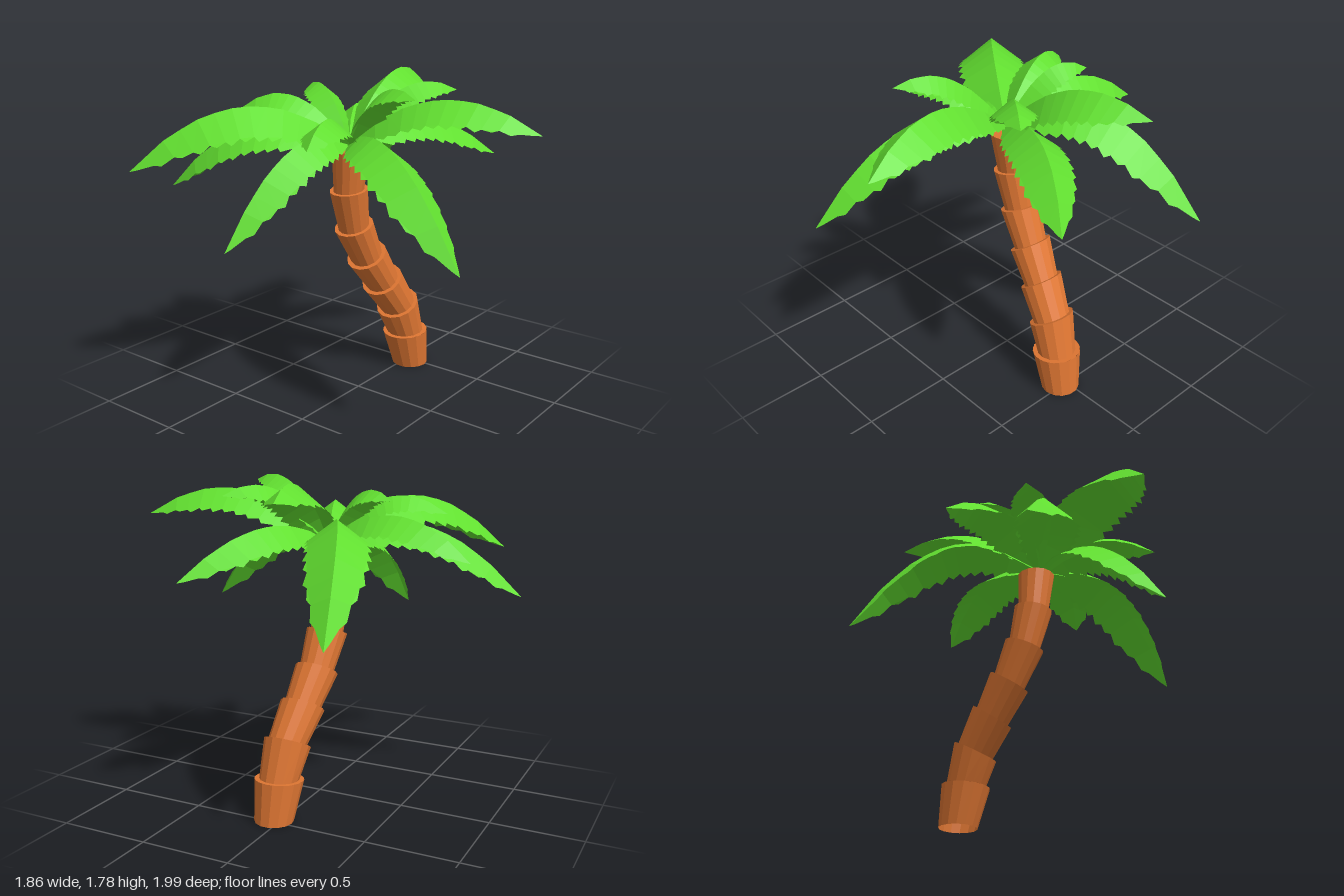
import * as THREE from 'three';

const V = (a) => new THREE.Vector3(...a);

// Trunk rings: centre x, y, z, flared radius of the segment below, radius where the next one starts, tilt in degrees
const RINGS = [
  [0.48, 0.004, 0.034, 0.106, 0.106, 1],
  [0.434, 0.226, 0.025, 0.133, 0.107, 5],
  [0.371, 0.412, 0.008, 0.127, 0.104, 28],
  [0.254, 0.587, -0.022, 0.121, 0.098, 34],
  [0.138, 0.762, -0.048, 0.117, 0.093, 32],
  [0.039, 0.957, -0.062, 0.111, 0.089, 21],
  [-0.013, 1.175, -0.056, 0.107, 0.086, 9],
  [-0.021, 1.397, -0.036, 0.104, 0.085, 0],
];

// Fronds: tip x, y, z, height of the ridge halfway, half width, sideways bow
const FRONDS = [
  [-0.93, 1.34, -0.76, 1.665, 0.23, -0.05],
  [0.93, 1.085, -0.48, 1.575, 0.2, -0.055],
  [0.08, 1.385, -0.87, 1.6, 0.17, 0],
  [-0.83, 0.985, -0.2, 1.445, 0.185, 0],
  [-0.66, 1.52, 0.2, 1.625, 0.14, 0],
  [-0.25, 1.74, 0.53, 1.74, 0.12, 0],
  [0.81, 1.71, -0.17, 1.76, 0.19, 0.02],
  [0.45, 1.7, 0.33, 1.725, 0.14, 0],
  [0.17, 1.56, 0.99, 1.71, 0.19, 0.03],
  [-0.46, 1.0, 0.93, 1.485, 0.195, 0.04],
  [-0.44, 1.14, -1.0, 1.52, 0.2, -0.075],
  [-0.25, 1.59, -0.63, 1.68, 0.135, 0.01],
  [0.12, 1.68, -0.46, 1.705, 0.12, 0],
  [0.79, 1.3, 0.39, 1.545, 0.18, -0.05],
];

// Relative leaf width along its length
const WIDTH = [[0, 0.18], [0.1, 0.52], [0.22, 0.88], [0.38, 1], [0.6, 1], [0.76, 0.86], [0.9, 0.5], [1, 0]];
function widthAt(t) {
  const i = Math.max(1, WIDTH.findIndex((p) => p[0] >= t));
  const [a, b] = [WIDTH[i - 1], WIDTH[i]];
  return THREE.MathUtils.mapLinear(t, a[0], b[0], a[1], b[1]);
}

// A folded leaf: faceted ridge on top, two sloping wings with toothed edges
function frondGeometry([x, y, z, midY, halfWidth, bow]) {
  const base = V([-0.045, 1.43, -0.03]);
  const tip = V([x, y, z]);
  const side = tip.clone().sub(base).cross(V([0, 1, 0])).normalize();
  const centre = base.clone().lerp(tip, 0.5);
  const mid = centre.clone().setY(midY).addScaledVector(side, bow);
  const ridge = new THREE.QuadraticBezierCurve3(base, mid.multiplyScalar(2).sub(centre), tip);
  const SEGMENTS = 6, TEETH = 13, FOLD = 0.65;
  const knots = ridge.getPoints(SEGMENTS);
  const normals = knots.map((_, i) => side.clone().cross(ridge.getTangent(i / SEGMENTS)).normalize());

  // Positions on the straight pieces between the ridge knots
  const along = (t, list) => {
    const f = Math.min(t * SEGMENTS, SEGMENTS - 1e-6), i = Math.floor(f);
    return list[i].clone().lerp(list[i + 1], f - i);
  };
  const edgeAt = (t, s, scale) => {
    const w = halfWidth * widthAt(t) * scale;
    return along(t, knots)
      .addScaledVector(side, s * w * Math.cos(FOLD))
      .addScaledVector(along(t, normals), -w * Math.sin(FOLD));
  };

  const pos = [];
  const tri = (s, a, b, c) => {
    for (const p of s > 0 ? [a, b, c] : [a, c, b]) pos.push(p.x, p.y, p.z);
  };
  for (const s of [1, -1]) {
    for (let i = 0; i < TEETH; i++) {
      const t0 = i / TEETH, t1 = (i + 1) / TEETH;
      const r0 = along(t0, knots), r1 = along(t1, knots);
      const e0 = edgeAt(t0, s, 0.92), e1 = edgeAt(t1, s, 0.92);
      tri(s, r0, e0, e1);
      tri(s, r0, e1, r1);
      if (i > 0) tri(s, e0, edgeAt(t0 + 0.7 / TEETH, s, 1.06), e1);
    }
  }
  const geo = new THREE.BufferGeometry();
  geo.setAttribute('position', new THREE.Float32BufferAttribute(pos, 3));
  geo.computeVertexNormals();
  return geo;
}

// A flared tube whose two ends lie on neighbouring tilted rings
function segmentGeometry(lower, upper, openEnded) {
  const geo = new THREE.CylinderGeometry(upper[3], lower[4], 1, 14, 1, openEnded);
  const pos = geo.attributes.position;
  const p = new THREE.Vector3();
  const Z = new THREE.Vector3(0, 0, 1);
  for (let i = 0; i < pos.count; i++) {
    p.fromBufferAttribute(pos, i);
    const ring = p.y > 0 ? upper : lower;
    p.setY(0).applyAxisAngle(Z, THREE.MathUtils.degToRad(ring[5])).add(V(ring.slice(0, 3)));
    pos.setXYZ(i, p.x, p.y, p.z);
  }
  geo.computeVertexNormals();
  return geo;
}

export function createModel() {
  const model = new THREE.Group();
  model.name = 'palmTree';
  const bark = new THREE.MeshStandardMaterial({ color: 0xe07733, flatShading: true, side: THREE.DoubleSide });
  const leaf = new THREE.MeshStandardMaterial({ color: 0x62e030, flatShading: true, side: THREE.DoubleSide });

  // Trunk of stacked, upward-flaring segments, open at the foot
  const trunk = new THREE.Group();
  trunk.name = 'trunk';
  for (let i = 1; i < RINGS.length; i++) {
    const segment = new THREE.Mesh(segmentGeometry(RINGS[i - 1], RINGS[i], i === 1), bark);
    segment.name = 'trunkSegment';
    trunk.add(segment);
  }
  // Ledge closing the open foot segment
  const ledge = new THREE.Mesh(new THREE.CircleGeometry(RINGS[1][3], 14), bark);
  ledge.name = 'footLedge';
  ledge.rotation.set(-Math.PI / 2, THREE.MathUtils.degToRad(-RINGS[1][5]), 0);
  ledge.position.set(...RINGS[1].slice(0, 3));
  trunk.add(ledge);
  model.add(trunk);

  // Crown of arching fronds
  const crown = new THREE.Group();
  crown.name = 'crown';
  for (const spec of FRONDS) {
    const frond = new THREE.Mesh(frondGeometry(spec), leaf);
    frond.name = 'frond';
    crown.add(frond);
  }
  model.add(crown);
  return model;
}
